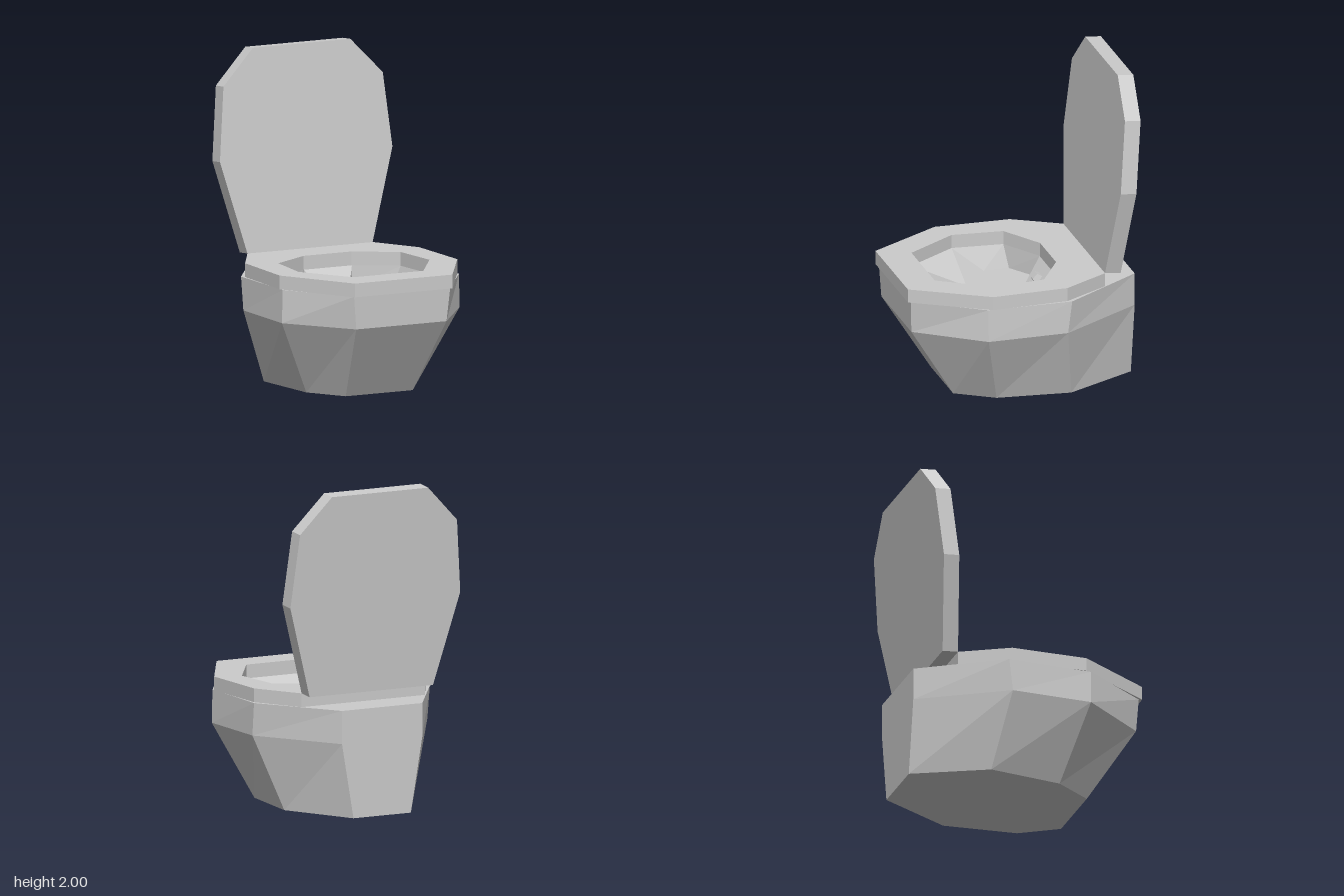
import * as THREE from 'three';

const material = new THREE.MeshStandardMaterial({ color: 0xcccccc, flatShading: true });

// Full outline from its +x half, listed front to back as [x, z]
const mirror = (half) => [...half, ...half.slice().reverse().map(([x, z]) => [-x, z])];

// Shape drawn so that shape y = sign * z
function outline(half, sign, hole) {
  const points = (h) => mirror(h).map(([x, z]) => new THREE.Vector2(x, sign * z));
  const shape = new THREE.Shape(points(half));
  if (hole) shape.holes.push(new THREE.Path(points(hole)));
  return shape;
}

// Side walls between successive rings { y, half }; rings going up face outward, going down inward
function loft(rings) {
  const position = [];
  for (let r = 0; r < rings.length - 1; r++) {
    const [low, high] = [rings[r], rings[r + 1]].map(({ y, half }) => mirror(half).map(([x, z]) => [x, y, z]));
    for (let i = 0; i < low.length; i++) {
      const j = (i + 1) % low.length;
      position.push(...low[i], ...low[j], ...high[j], ...low[i], ...high[j], ...high[i]);
    }
  }
  const geometry = new THREE.BufferGeometry();
  geometry.setAttribute('position', new THREE.Float32BufferAttribute(position, 3));
  geometry.computeVertexNormals();
  return geometry;
}

// Flat face at height y looking up or down
function cap(half, y, up, hole) {
  const geometry = new THREE.ShapeGeometry(outline(half, up ? -1 : 1, hole));
  return geometry.rotateX(up ? -Math.PI / 2 : Math.PI / 2).translate(0, y, 0);
}

export function createModel() {
  const model = new THREE.Group();
  const add = (name, geometry, parent = model) => {
    const mesh = new THREE.Mesh(geometry, material);
    mesh.name = name;
    parent.add(mesh);
    return mesh;
  };

  const deckY = 0.67, floorY = 0.53;
  const foot = [[0.23, 0.41], [0.38, 0.18], [0.43, -0.28], [0.2, -0.73]];
  const waist = [[0.31, 0.7], [0.61, 0.3], [0.61, -0.205], [0.28, -0.73]];
  const deck = [[0.33, 0.71], [0.605, 0.3], [0.613, -0.23], [0.28, -0.73]];
  const opening = [[0.24, 0.53], [0.45, 0.21], [0.42, -0.11], [0.165, -0.265]];
  const floor = [[0.16, 0.205], [0.37, 0.03], [0.37, -0.13], [0.165, -0.26]];

  // Faceted pedestal
  const base = new THREE.Group();
  base.name = 'base';
  model.add(base);
  add('baseWalls', loft([{ y: 0, half: foot }, { y: 0.465, half: waist }, { y: deckY, half: deck }]), base);
  add('baseBottom', cap(foot, 0, false), base);
  add('baseDeck', cap(deck, deckY, true, opening), base);

  // Shallow bowl inside
  const bowl = new THREE.Group();
  bowl.name = 'bowl';
  model.add(bowl);
  add('bowlWalls', loft([{ y: deckY, half: opening }, { y: floorY, half: floor }]), bowl);
  add('bowlFloor', cap(floor, floorY, true), bowl);

  // Sloping wedge at the back of the bowl with its small nozzle
  add('nozzleMount', loft([
    { y: floorY, half: [[0.08, -0.14], [0.165, -0.255]] },
    { y: deckY, half: [[0.165, -0.262], [0.165, -0.27]] },
  ]), bowl);
  const nozzleShape = new THREE.CylinderGeometry(0.026 * Math.SQRT2, 0.04 * Math.SQRT2, 0.04, 4);
  const nozzle = add('nozzle', nozzleShape.rotateY(Math.PI / 4).scale(1, 1, 0.8), bowl);
  nozzle.position.set(0, 0.605, -0.188);
  nozzle.rotation.x = 0.84;

  // Seat ring
  const rim = [[0.335, 0.73], [0.61, 0.27], [0.598, -0.205], [0.43, -0.495]];
  const seat = new THREE.ExtrudeGeometry(outline(rim, -1, opening), { depth: 0.085, bevelEnabled: false });
  add('seat', seat.rotateX(-Math.PI / 2).translate(0, deckY, 0));

  // Raised lid, leaning slightly back
  const lidHalf = [[0.43, 0], [0.592, 0.572], [0.547, 1.03], [0.335, 1.25]];
  const lidShape = new THREE.ExtrudeGeometry(outline(lidHalf, 1), { depth: 0.1, bevelEnabled: false });
  const lid = add('lid', lidShape.translate(0, 0, -0.1));
  lid.position.set(0, 0.755, -0.495);
  lid.rotation.x = -0.088;

  return model;
}
